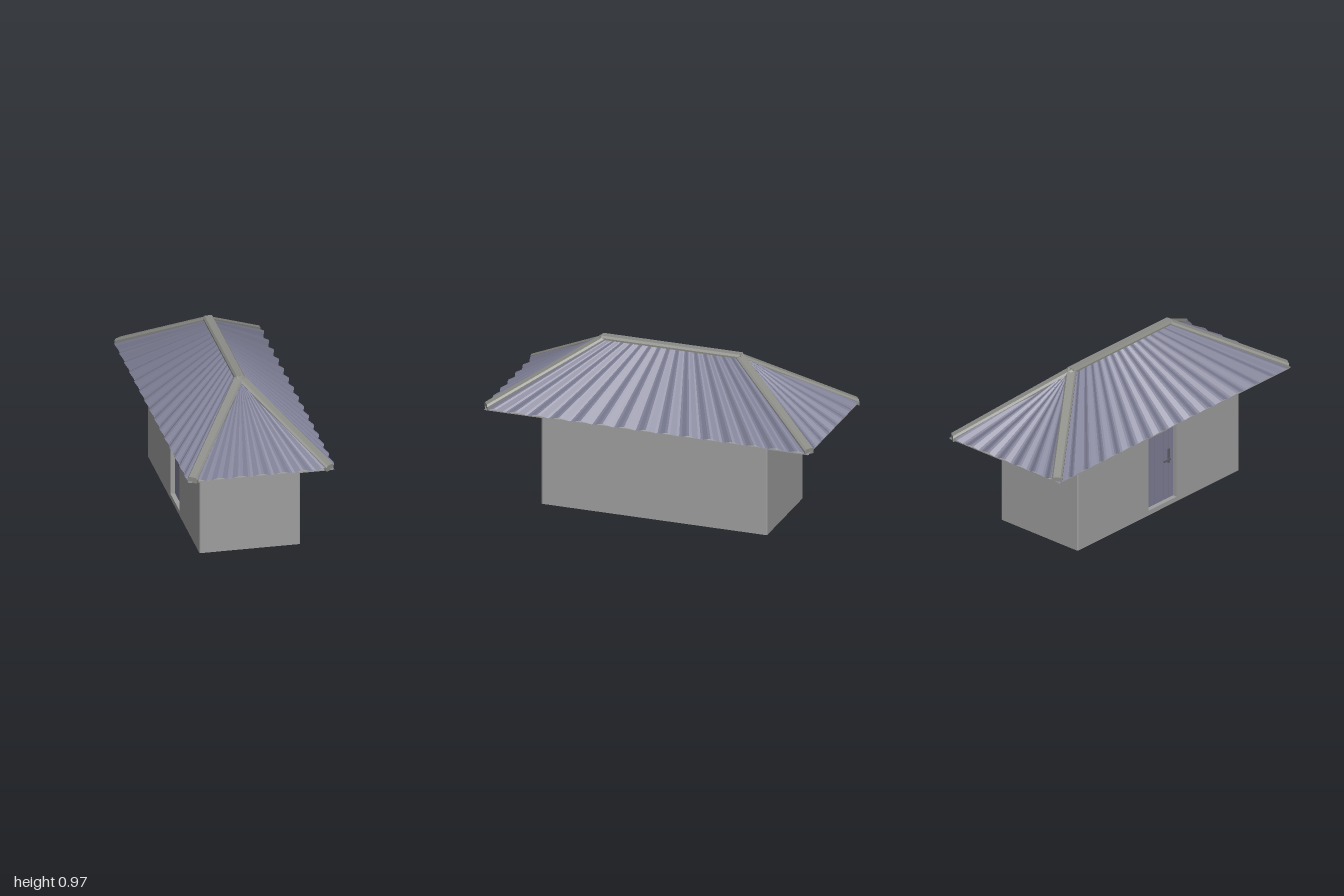
import * as THREE from 'three';

const grey = new THREE.MeshStandardMaterial({ color: 0x9e9e9e });
const trim = new THREE.MeshStandardMaterial({ color: 0x8b8b86, side: THREE.DoubleSide, flatShading: true });
const tin = new THREE.MeshStandardMaterial({ color: 0x7e7e95, side: THREE.DoubleSide, flatShading: true });
const doorPaint = new THREE.MeshStandardMaterial({ color: 0x7e7e95 });
const iron = new THREE.MeshStandardMaterial({ color: 0x5c5c66 });

const V = (x, y, z) => new THREE.Vector3(x, y, z);

function add(parent, name, geometry, material) {
  const mesh = new THREE.Mesh(geometry, material);
  mesh.name = name;
  parent.add(mesh);
  return mesh;
}

function box(parent, name, material, w, h, d, x, y, z) {
  add(parent, name, new THREE.BoxGeometry(w, h, d), material).position.set(x, y, z);
}

// Indexed surface from a grid of points, rows by columns
function gridGeometry(rows) {
  const cols = rows[0].length, index = [];
  for (let r = 0; r < rows.length - 1; r++) {
    for (let c = 0; c < cols - 1; c++) {
      const a = r * cols + c, b = a + cols;
      index.push(a, a + 1, b, a + 1, b + 1, b);
    }
  }
  const geometry = new THREE.BufferGeometry().setFromPoints(rows.flat());
  geometry.setIndex(index);
  geometry.computeVertexNormals();
  return geometry;
}

// Corrugated sheet fanning from an eave (e0-e1) up to a ridge (r0-r1)
function corrugatedSheet(e0, e1, r0, r1, waves, topAmplitude) {
  const normal = e1.clone().sub(e0).cross(r0.clone().sub(e0)).normalize();
  const steps = waves * 8, rows = [];
  for (let j = 0; j <= 4; j++) {
    const t = j / 4, row = [];
    for (let i = 0; i <= steps; i++) {
      const s = i / steps;
      const wave = -Math.cos(s * waves * Math.PI * 2) * THREE.MathUtils.lerp(0.012, topAmplitude, t);
      const eave = e0.clone().lerp(e1, s), ridge = r0.clone().lerp(r1, s);
      row.push(eave.lerp(ridge, t).addScaledVector(normal, wave));
    }
    rows.push(row);
  }
  return gridGeometry(rows);
}

// Faceted capping strip between two points, with ends cut upright
function capping(a, b, skirt) {
  const across = V(b.z - a.z, 0, a.x - b.x).normalize();
  const section = [[-0.03, -skirt], [-0.03, 0.004], [-0.021, 0.016], [0.021, 0.016], [0.03, 0.004], [0.03, -skirt]];
  const ring = (p, k) => [...section, section[0]].map(([u, v]) =>
    p.clone().addScaledVector(across, u * k).add(V(0, v * k, 0)));
  return gridGeometry([ring(a, 0), ring(a, 1), ring(b, 1), ring(b, 0)]);
}

// Chamfered wall outline, optionally notched for the doorway on the -x side
const W = 0.294, D = 0.684, door = { z0: -0.083, z1: 0.155, y0: 0.03, y1: 0.53, depth: 0.035 };
function wallLayer(y0, y1, notched) {
  const c = 0.005;
  const points = [[-W + c, -D], [W - c, -D], [W, -D + c], [W, D - c], [W - c, D], [-W + c, D], [-W, D - c]];
  if (notched) {
    points.push([-W, -door.z0], [-W + door.depth, -door.z0], [-W + door.depth, -door.z1], [-W, -door.z1]);
  }
  points.push([-W, -D + c]);
  const shape = new THREE.Shape(points.map(([x, y]) => new THREE.Vector2(x, y)));
  const geometry = new THREE.ExtrudeGeometry(shape, { depth: y1 - y0, bevelEnabled: false });
  return geometry.rotateX(-Math.PI / 2).translate(0, y0, 0);
}

export function createModel() {
  const model = new THREE.Group();
  model.name = 'hipRoofHut';

  // Walls in three layers, the middle one with the door recess
  const walls = new THREE.Group();
  walls.name = 'walls';
  add(walls, 'wallBase', wallLayer(0, door.y0, false), grey);
  add(walls, 'wallMiddle', wallLayer(door.y0, door.y1, true), grey);
  add(walls, 'wallTop', wallLayer(door.y1, 0.586, false), grey);
  model.add(walls);

  // Plank door set into the recess
  const doorGroup = new THREE.Group();
  doorGroup.name = 'door';
  const planks = 6, pitch = (door.z1 - door.z0) / planks, height = door.y1 - door.y0;
  const face = -W + door.depth;
  for (let i = 0; i < planks; i++) {
    box(doorGroup, 'doorPlank', doorPaint, 0.008, height, pitch - 0.003,
      face - 0.004, door.y0 + height / 2, door.z0 + (i + 0.5) * pitch);
  }
  box(doorGroup, 'doorBacking', iron, 0.004, height, door.z1 - door.z0, face - 0.002, door.y0 + height / 2, (door.z0 + door.z1) / 2);
  box(doorGroup, 'handlePlate', iron, 0.006, 0.09, 0.018, face - 0.011, 0.3, 0.115);
  box(doorGroup, 'handleStem', iron, 0.012, 0.01, 0.01, face - 0.017, 0.28, 0.115);
  box(doorGroup, 'handleLever', iron, 0.007, 0.01, 0.055, face - 0.021, 0.28, 0.093);
  model.add(doorGroup);

  // Flat soffit board with the solid roof core above it
  const roof = new THREE.Group();
  roof.name = 'roof';
  box(roof, 'soffit', grey, 0.84, 0.007, 1.96, 0, 0.5865, 0);
  const core = new THREE.CylinderGeometry(1, 1, 1, 4, 1).rotateY(Math.PI / 4);
  const p = core.attributes.position;
  for (let i = 0; i < p.count; i++) {
    const top = p.getY(i) > 0, sx = Math.sign(Math.round(p.getX(i) * 10)), sz = Math.sign(Math.round(p.getZ(i) * 10));
    p.setXYZ(i, sx * (top ? 0.003 : 0.41), top ? 0.93 : 0.588, sz * (top ? 0.4 : 0.965));
  }
  core.computeVertexNormals();
  add(roof, 'roofCore', core, grey);

  // Corrugated sheets: two long sides and two triangular ends
  const eX = 0.428, eZ = 0.987, eY = 0.596, rX = 0.02, rY = 0.948, rZ = 0.41;
  for (const s of [1, -1]) {
    add(roof, 'sideSheet', corrugatedSheet(V(s * eX, eY, s * eZ), V(s * eX, eY, -s * eZ),
      V(s * rX, rY, s * rZ), V(s * rX, rY, -s * rZ), 15, 0.005), tin);
    const apex = V(0, 0.953, s * 0.432);
    add(roof, 'endSheet', corrugatedSheet(V(-s * eX, eY, s * eZ), V(s * eX, eY, s * eZ), apex, apex, 7, 0.001), tin);
  }

  // Ridge and hip cappings
  add(roof, 'ridgeCapping', capping(V(0, 0.952, -0.42), V(0, 0.952, 0.42), 0.006), trim);
  for (const sx of [1, -1]) {
    for (const sz of [1, -1]) {
      add(roof, 'hipCapping', capping(V(0, 0.952, sz * 0.41), V(sx * 0.402, 0.602, sz * 0.981), 0.018), trim);
    }
  }
  model.add(roof);
  return model;
}
